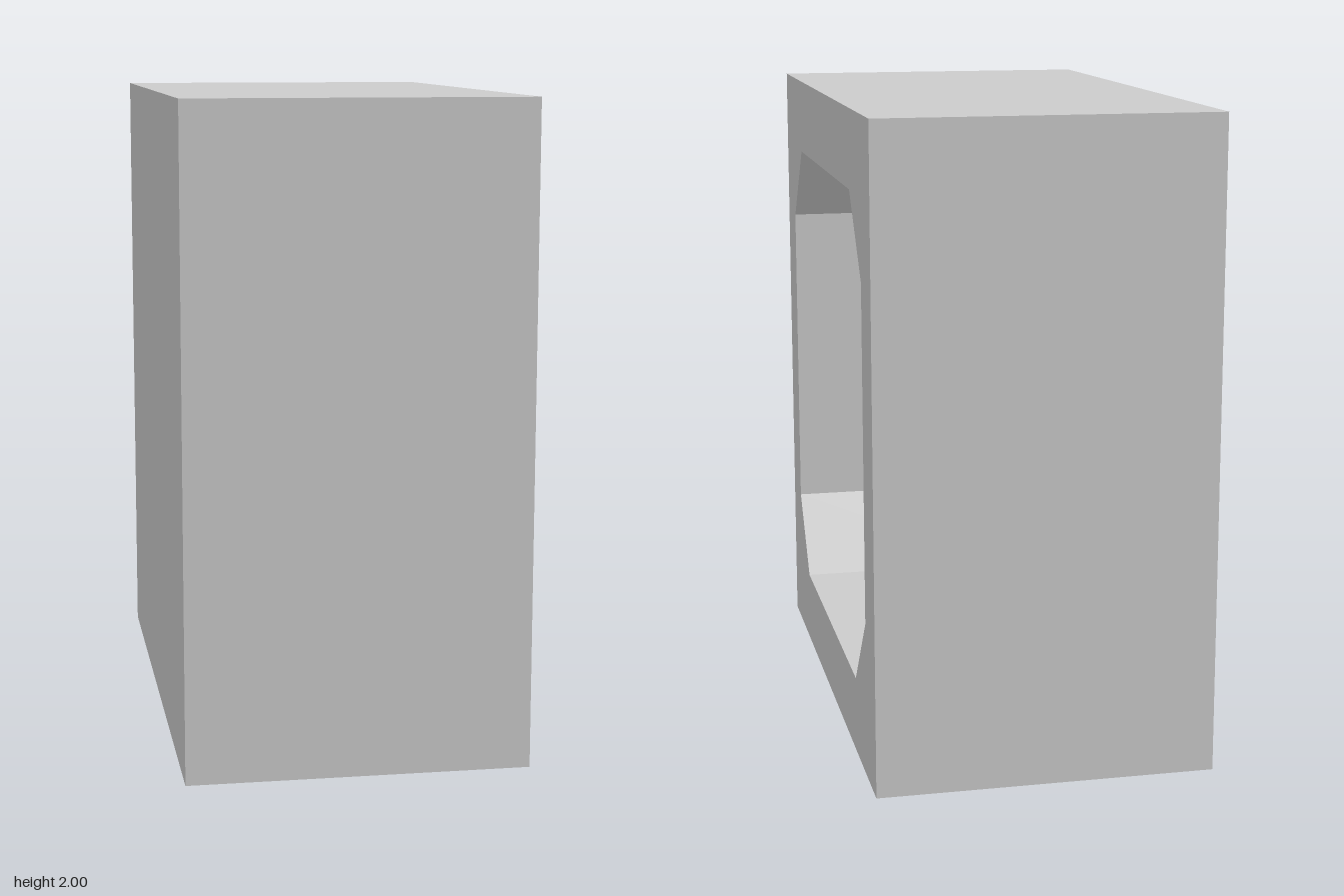
import * as THREE from 'three';

const W = 1.04, H = 2, D = 1.83;          // outer size in x, y, z
const FRONT = W / 2, SLOPE_X = -0.175, BACK = -0.42;
const Z1 = 0.54, Z2 = 0.745;              // half widths of the octagonal mouth
const Y1 = 0.76, Y2 = 0.515;              // its half heights about y = 1
const CHAMFER = Y1 - Y2;

// Mouth outline, counter-clockwise seen from the open side, as [-z, y - 1]
const mouth = [
  [-Z1, -Y1], [Z1, -Y1], [Z2, -Y2], [Z2, Y2],
  [Z1, Y1], [-Z1, Y1], [-Z2, Y2], [-Z2, -Y2],
];
const points = (list) => list.map(([x, y]) => new THREE.Vector2(x, y));
const rectangle = (x, y0, y1) => points([[-x, y0], [x, y0], [x, y1], [-x, y1]]);

export function createModel() {
  const model = new THREE.Group();
  const material = new THREE.MeshStandardMaterial({ color: 0xcccccc, flatShading: true });
  const add = (name, geometry, parent = model) => {
    const mesh = new THREE.Mesh(geometry, material);
    mesh.name = name;
    parent.add(mesh);
    return mesh;
  };
  // Box without its +x face
  const openBox = (w, h, d, inward = false) => {
    const box = new THREE.BoxGeometry(w, h, d);
    const index = Array.from(box.index.array).slice(6);
    box.setIndex(inward ? index.reverse() : index);
    const geometry = box.toNonIndexed();
    geometry.computeVertexNormals();
    return geometry;
  };

  // Outer casing
  add('casing', openBox(W, H, D)).position.y = 1;

  // Flat rim around the mouth
  const rimShape = new THREE.Shape(rectangle(D / 2, -1, 1));
  rimShape.holes.push(new THREE.Path(points(mouth)));
  add('rim', new THREE.ShapeGeometry(rimShape).rotateY(Math.PI / 2)).position.set(FRONT, 1, 0);

  // Cavity walls: one quad inward from each mouth edge
  const vertices = [];
  mouth.forEach((a, i) => {
    const b = mouth[(i + 1) % mouth.length];
    const at = ([u, y], deep) => {
      const rear = Math.abs(y) === Y1 ? SLOPE_X : BACK;
      return [deep ? rear : FRONT, y + 1, -u];
    };
    const [p, q, r, s] = [at(a, false), at(b, false), at(b, true), at(a, true)];
    vertices.push(...p, ...q, ...r, ...p, ...r, ...s);
  });
  const walls = new THREE.BufferGeometry();
  walls.setAttribute('position', new THREE.Float32BufferAttribute(vertices, 3));
  walls.computeVertexNormals();
  add('cavityWalls', walls);

  // Back panel
  add('backPanel', new THREE.PlaneGeometry(Z2 * 2, Y2 * 2).rotateY(Math.PI / 2))
    .position.set(BACK, 1, 0);

  // Sloping panels above and below it; the upper one carries a shallow slot
  const slant = CHAMFER * Math.SQRT2;
  const slot = { half: 0.33, low: 0.085, high: 0.255, depth: 0.016 };
  for (const top of [true, false]) {
    const shape = new THREE.Shape(points([[-Z2, 0], [Z2, 0], [Z1, slant], [-Z1, slant]]));
    if (top) shape.holes.push(new THREE.Path(rectangle(slot.half, slot.low, slot.high)));
    const geometry = new THREE.ShapeGeometry(shape).rotateY(Math.PI / 2);
    if (!top) geometry.rotateX(Math.PI);
    const group = new THREE.Group();
    group.name = top ? 'upperSlope' : 'lowerSlope';
    group.position.set(BACK, 1 + (top ? Y2 : -Y2), 0);
    group.rotation.z = top ? -Math.PI / 4 : Math.PI / 4;
    add('slopePanel', geometry, group);
    if (top) {
      add('slotRecess', openBox(slot.depth, slot.high - slot.low, slot.half * 2, true), group)
        .position.set(-slot.depth / 2, (slot.low + slot.high) / 2, 0);
    }
    model.add(group);
  }

  return model;
}
